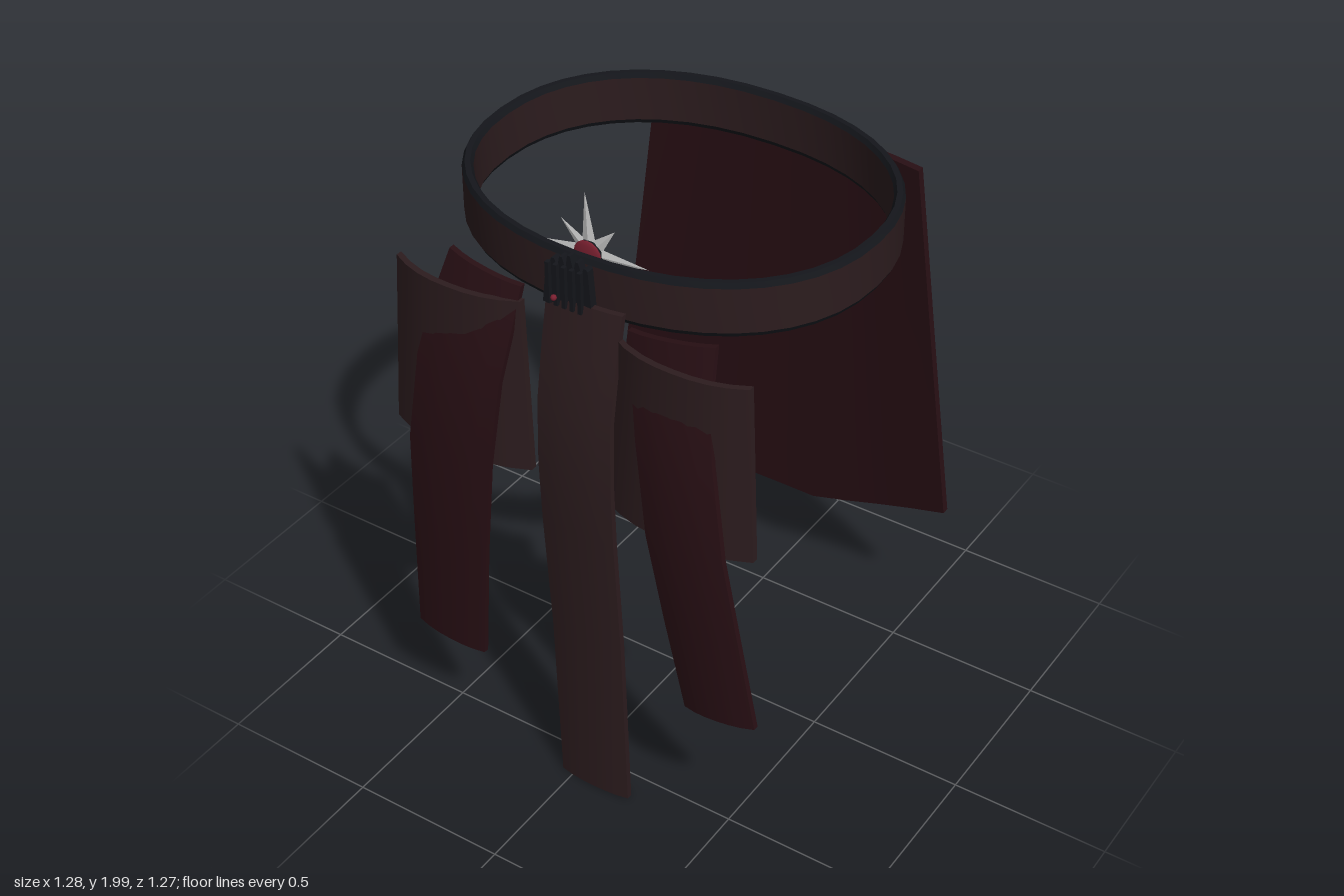
import * as THREE from 'three';
import { toCreasedNormals } from 'three/addons/utils/BufferGeometryUtils.js';

const mat = (color) => new THREE.MeshStandardMaterial({ color, side: THREE.DoubleSide });
const leather = mat(0x2c1c1e);
const redCloth = mat(0x280f14);
const black = mat(0x14161b);
const silver = mat(0xcccccc);
const ruby = mat(0x7a2030);

function add(parent, name, geometry, material, x = 0, y = 0, z = 0) {
  const mesh = new THREE.Mesh(geometry, material);
  mesh.name = name;
  mesh.position.set(x, y, z);
  parent.add(mesh);
  return mesh;
}

// Curved slab. Rows run top to bottom as [yLeft, yRight, xLeft, xRight, zCentre];
// bow pulls the side edges back, drop lowers the hem by a rule of u (-1..1).
function slab(rows, { bow, thick, cols = 6, drop = () => 0 }) {
  const n = rows.length - 1;
  const g = new THREE.BoxGeometry(2, 1, 1, cols, n, 1);
  const p = g.attributes.position;
  for (let i = 0; i < p.count; i++) {
    const u = p.getX(i), v = 0.5 - p.getY(i), w = p.getZ(i);
    const [yl, yr, xl, xr, z] = rows[Math.round(v * n)];
    const k = (u + 1) / 2;
    p.setXYZ(i, xl + (xr - xl) * k, yl + (yr - yl) * k - drop(u) * v,
      z - bow * Math.abs(u) ** 2.4 + (w - 0.5) * thick);
  }
  return toCreasedNormals(g, 0.5);
}

// Ring surface: a profile of [offset, y] swept round a rounded oval
function ovalRing(profile) {
  const g = new THREE.LatheGeometry(profile.map(([d, y]) => new THREE.Vector2(1 + d, y)), 44);
  const p = g.attributes.position;
  const e = 2 / 2.2;
  const soft = (t) => Math.sign(t) * Math.abs(t) ** e;
  for (let i = 0; i < p.count; i++) {
    const x = p.getX(i), z = p.getZ(i), r = Math.hypot(x, z), d = r - 1;
    p.setXYZ(i, soft(x / r) * (0.635 + d) - 0.005, p.getY(i), soft(z / r) * (0.522 + d) - 0.012);
  }
  return toCreasedNormals(g, 0.5);
}

function createBelt() {
  const belt = new THREE.Group();
  belt.name = 'belt';
  add(belt, 'beltOuterFace', ovalRing([[0, 1.685], [0, 1.825]]), leather);
  add(belt, 'beltInnerFace', ovalRing([[-0.032, 1.825], [-0.032, 1.685]]), leather);
  add(belt, 'beltTopRim', ovalRing([[0, 1.825], [-0.008, 1.84], [-0.024, 1.84], [-0.032, 1.825]]), black);
  add(belt, 'beltBottomRim', ovalRing([[-0.032, 1.685], [-0.024, 1.67], [-0.008, 1.67], [0, 1.685]]), black);
  return belt;
}

// Eight-pointed star with long and short blades
function createStar() {
  const star = new THREE.Group();
  star.name = 'starOrnament';
  for (let i = 0; i < 8; i++) {
    const length = i % 2 ? 0.125 : 0.19;
    const blade = new THREE.ConeGeometry(0.024, length - 0.02, 4);
    blade.translate(0, length / 2 + 0.01, 0);
    blade.scale(1, 1, 0.28);
    const mesh = add(star, 'starBlade', toCreasedNormals(blade, 0.2), silver);
    mesh.rotation.z = (i * Math.PI) / 4 + 0.07;
  }
  const disc = toCreasedNormals(new THREE.CylinderGeometry(0.042, 0.042, 0.018, 16).rotateX(Math.PI / 2), 0.5);
  add(star, 'starHub', disc, black);
  const gem = new THREE.SphereGeometry(0.045, 16, 8).scale(1, 1, 0.2);
  add(star, 'starGem', gem, ruby, 0, 0, 0.012);
  add(star, 'starBead', new THREE.SphereGeometry(0.012, 10, 8), ruby, 0, 0, 0.033);
  star.position.set(-0.01, 1.8, 0.427);
  return star;
}

// Dark crown-shaped clasp at the front of the belt
function createClasp() {
  const clasp = new THREE.Group();
  clasp.name = 'clasp';
  const s = new THREE.Shape();
  s.moveTo(-0.085, -0.09);
  s.lineTo(0.075, -0.075);
  s.lineTo(0.065, 0.055);
  for (let i = 0; i < 5; i++) {
    const x = 0.065 - i * 0.026;
    s.lineTo(x - 0.004, 0.085 - Math.abs(i - 2) * 0.012);
    s.lineTo(x - 0.013, 0.085 - Math.abs(i - 2) * 0.012);
    s.lineTo(x - 0.02, 0.04);
  }
  s.lineTo(-0.07, 0.04);
  add(clasp, 'claspPlate', new THREE.ExtrudeGeometry(s, { depth: 0.025, bevelEnabled: false }), black, 0, 0, 0.52);
  for (let i = 0; i < 5; i++) {
    add(clasp, 'claspRib', new THREE.BoxGeometry(0.012, 0.13, 0.014), black, -0.06 + i * 0.026, -0.015, 0.551);
  }
  const pin = new THREE.CylinderGeometry(0.014, 0.014, 0.07, 10).rotateX(Math.PI / 2);
  add(clasp, 'claspPin', pin, black, -0.008, 0, 0.5);
  add(clasp, 'claspBead', new THREE.SphereGeometry(0.009, 10, 8), ruby, -0.008, -0.02, 0.6);
  clasp.position.y = 1.775;
  return clasp;
}

export function createModel() {
  const model = new THREE.Group();
  model.name = 'beltWithHangingPanels';
  model.add(createBelt(), createStar(), createClasp());

  // Wide rear cloth with a pointed hem
  add(model, 'backPanel', slab([
    [1.72, 1.72, -0.45, 0.46, -0.577],
    [1.1, 1.1, -0.535, 0.535, -0.595],
    [0.5, 0.5, -0.62, 0.61, -0.61],
  ], { bow: -0.035, thick: 0.025, cols: 10, drop: (u) => Math.min(0.17, 0.22 * (1 - Math.abs(u))) }), redCloth);

  // Long centre strip
  add(model, 'centreStrip', slab([
    [1.72, 1.72, -0.08, 0.165, 0.545],
    [1.58, 1.58, -0.075, 0.168, 0.582],
    [1.4, 1.4, -0.07, 0.172, 0.62],
    [1.2, 1.2, -0.065, 0.178, 0.634],
    [1.0, 1.0, -0.06, 0.182, 0.632],
    [0.6, 0.6, -0.05, 0.19, 0.616],
    [0, 0, -0.04, 0.2, 0.608],
  ], { bow: 0.012, thick: 0.018 }), leather);

  // Short bowed hip plates, mirrored about the belt's middle
  for (const [name, side] of [['rightHipPlate', -1], ['leftHipPlate', 1]]) {
    const span = (inner, outer) => (side < 0 ? [-outer - 0.01, -inner - 0.01] : [inner - 0.01, outer - 0.01]);
    add(model, name, slab([
      [1.65, 1.65, ...span(0.155, 0.58), 0.595],
      [1.37, 1.37, ...span(0.143, 0.595), 0.601],
      [1.09, 1.09, ...span(0.13, 0.61), 0.608],
    ], { bow: 0.052, thick: 0.02, cols: 8 }), leather);
  }

  // Red side strips, emerging through the hip plates
  add(model, 'rightStrip', slab([
    [1.73, 1.69, -0.41, -0.17, 0.545],
    [1.58, 1.56, -0.45, -0.18, 0.585],
    [1.39, 1.39, -0.49, -0.205, 0.62],
    [1.09, 1.09, -0.53, -0.245, 0.634],
    [0.75, 0.74, -0.548, -0.285, 0.624],
    [0.35, 0.33, -0.57, -0.325, 0.608],
  ], { bow: 0.016, thick: 0.018 }), redCloth);
  add(model, 'leftStrip', slab([
    [1.68, 1.73, 0.18, 0.455, 0.545],
    [1.56, 1.58, 0.215, 0.465, 0.585],
    [1.39, 1.4, 0.25, 0.495, 0.62],
    [1.09, 1.1, 0.29, 0.54, 0.634],
    [0.8, 0.82, 0.345, 0.59, 0.626],
    [0.49, 0.52, 0.405, 0.64, 0.612],
  ], { bow: 0.016, thick: 0.018 }), redCloth);

  return model;
}
